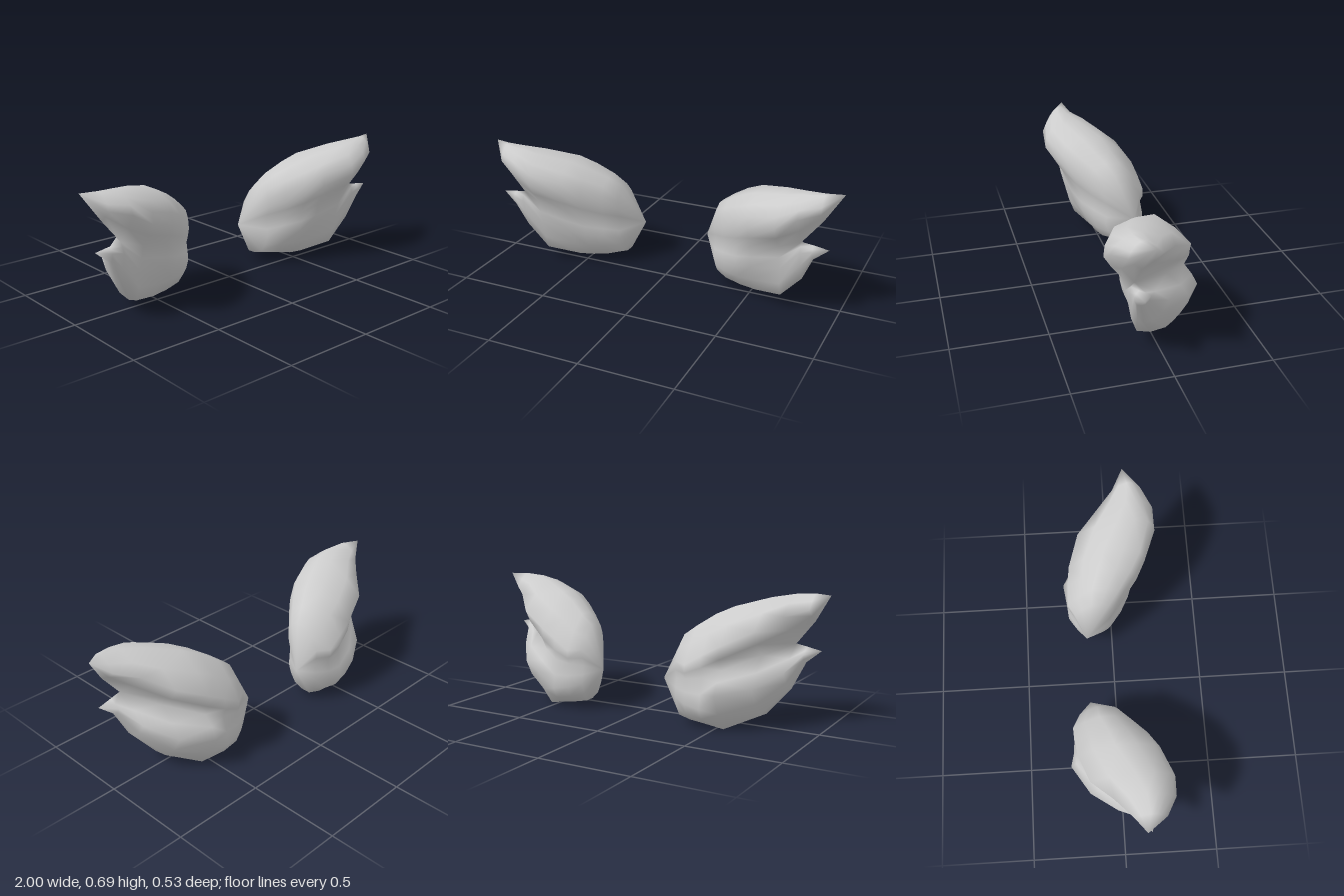
import * as THREE from 'three';
import { mergeVertices } from 'three/addons/utils/BufferGeometryUtils.js';

const SEGMENTS = 10;
const ROOT = [0.19, 0.23, -0.145];

// Valley shared by both lobes: x, front (y, z), back (y, z); it closes at the notch.
const GROOVE = [
  [0.29, 0.26, -0.015, 0.25, -0.195],
  [0.36, 0.28, 0.045, 0.26, -0.228],
  [0.45, 0.31, 0.108, 0.275, -0.225],
  [0.54, 0.345, 0.148, 0.315, -0.187],
  [0.70, 0.39, 0.172, 0.385, -0.05],
  [0.81, 0.425, 0.145, 0.425, 0.145],
];

// Sections as (y, z): back, back top, front top, front.
const UPPER = {
  groove: [...GROOVE, [0.91, 0.55, 0.14, 0.55, 0.14]],
  sections: [
    [0.34, -0.205, 0.465, -0.11, 0.445, -0.015, 0.35, 0.01],
    [0.335, -0.245, 0.518, -0.10, 0.49, 0.045, 0.38, 0.07],
    [0.39, -0.237, 0.58, -0.06, 0.54, 0.115, 0.43, 0.15],
    [0.44, -0.225, 0.622, -0.03, 0.585, 0.17, 0.47, 0.20],
    [0.52, -0.165, 0.668, 0.06, 0.63, 0.225, 0.52, 0.265],
    [0.59, -0.05, 0.687, 0.11, 0.66, 0.20, 0.585, 0.258],
    [0.62, 0.04, 0.692, 0.12, 0.675, 0.17, 0.61, 0.205],
  ],
  tip: [1.0, 0.692, 0.10],
};

// Sections as (y, z): front, front bottom, back bottom, back.
const LOWER = {
  groove: [...GROOVE, [0.87, 0.415, 0.14, 0.415, 0.14]],
  sections: [
    [0.17, 0.00, 0.07, -0.05, 0.046, -0.16, 0.15, -0.205],
    [0.19, 0.058, 0.06, 0.00, 0.035, -0.18, 0.13, -0.245],
    [0.20, 0.105, 0.045, 0.015, 0.02, -0.17, 0.115, -0.254],
    [0.22, 0.128, 0.035, 0.02, 0.00, -0.15, 0.20, -0.268],
    [0.25, 0.145, 0.08, 0.10, 0.075, -0.05, 0.23, -0.17],
    [0.375, 0.17, 0.22, 0.13, 0.20, 0.06, 0.30, -0.03],
    [0.385, 0.165, 0.34, 0.15, 0.335, 0.11, 0.38, 0.08],
  ],
  tip: [0.95, 0.40, 0.135],
};

// Open strip of sections from the root to the tip, bounded by the groove
function addLobe({ groove, sections, tip }, isUpper, side, pos) {
  const rows = sections.map((s, i) => {
    const [x, fy, fz, by, bz] = groove[i];
    const front = new THREE.Vector3(x, fy, fz);
    const back = new THREE.Vector3(x, by, bz);
    const arc = [0, 2, 4, 6].map((k) => new THREE.Vector3(x, s[k], s[k + 1]));
    const path = isUpper ? [back, ...arc, front] : [front, ...arc, back];
    return new THREE.CatmullRomCurve3(path, false, 'catmullrom', 0.4).getPoints(SEGMENTS);
  });
  const root = new THREE.Vector3(...ROOT);
  const end = new THREE.Vector3(...tip);
  const tri = (a, b, c) => {
    for (const p of side > 0 ? [a, b, c] : [a, c, b]) pos.push(p.x * side, Math.max(0, p.y), p.z);
  };
  const last = rows[rows.length - 1];
  for (let j = 0; j < SEGMENTS; j++) {
    tri(root, rows[0][j + 1], rows[0][j]);
    for (let r = 0; r < rows.length - 1; r++) {
      const [a, b] = [rows[r], rows[r + 1]];
      tri(a[j], a[j + 1], b[j]);
      tri(a[j + 1], b[j + 1], b[j]);
    }
    tri(last[j], last[j + 1], end);
  }
}

// Both lobes welded into one smooth skin; side is 1 (left) or -1 (right)
function tuftGeometry(side) {
  const pos = [];
  addLobe(UPPER, true, side, pos);
  addLobe(LOWER, false, side, pos);
  const soup = new THREE.BufferGeometry();
  soup.setAttribute('position', new THREE.Float32BufferAttribute(pos, 3));
  const geometry = mergeVertices(soup, 1e-4);
  geometry.computeVertexNormals();
  return geometry;
}

export function createModel() {
  const model = new THREE.Group();
  model.name = 'pairedTufts';
  const grey = new THREE.MeshStandardMaterial({ color: 0xcccccc });
  grey.name = 'light grey';

  // Mirrored pair of two-pointed tufts
  for (const side of [1, -1]) {
    const tuft = new THREE.Mesh(tuftGeometry(side), grey);
    tuft.name = side > 0 ? 'leftTuft' : 'rightTuft';
    model.add(tuft);
  }
  return model;
}
